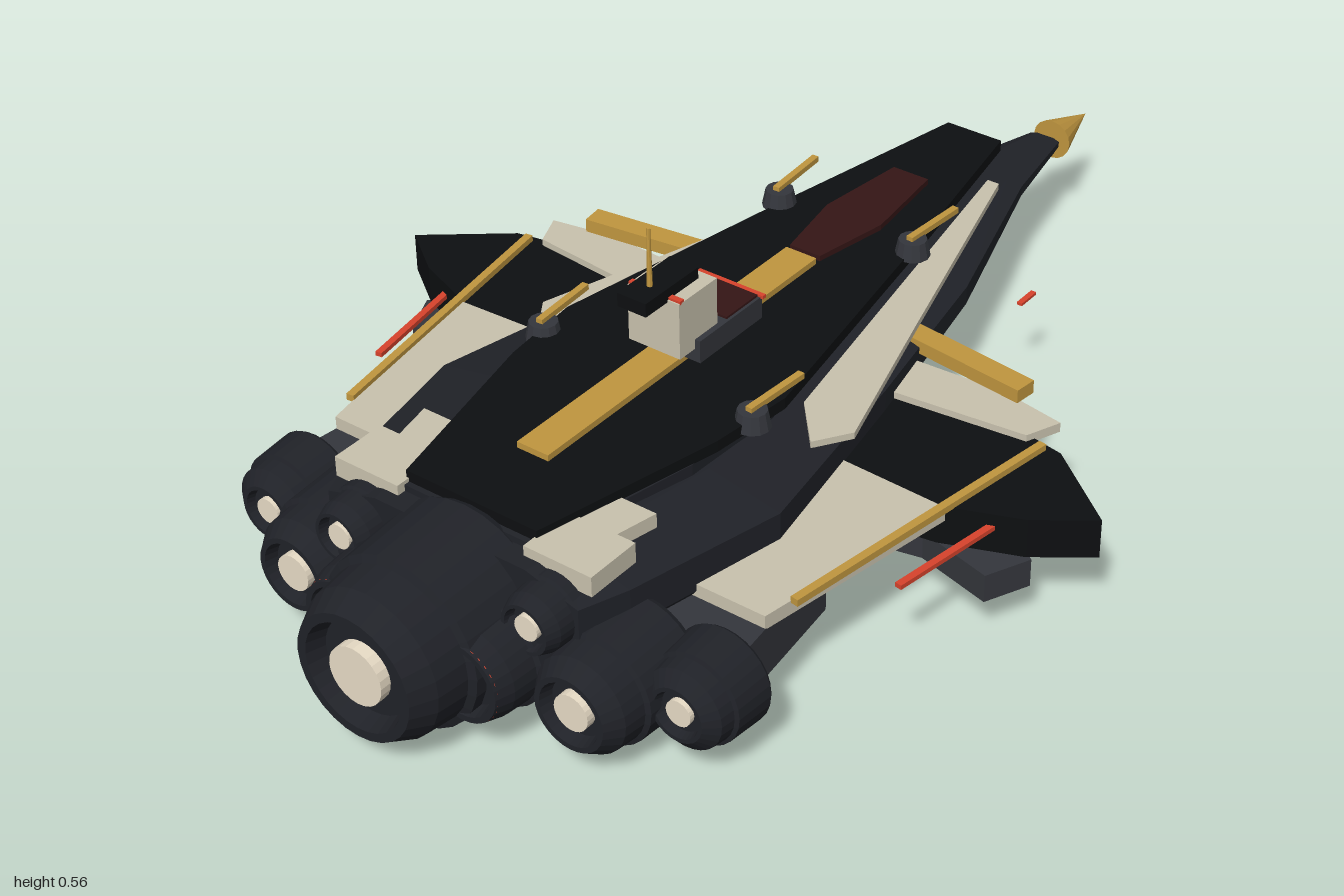
import * as THREE from 'three';

const mat = (color) => new THREE.MeshStandardMaterial({ color, flatShading: true, side: THREE.DoubleSide });
const HULL = mat(0x202228), DECK = mat(0x0d0f11), GREY = mat(0x34363c), IVORY = mat(0xc9c2ae);
const GOLD = mat(0xc0963f), RED = mat(0xd8432c), MAROON = mat(0x351616), GLOW = mat(0xe8dcc6);

export function createModel() {
  const ship = new THREE.Group();
  ship.name = 'starship';

  const add = (name, geo, material, x = 0, y = 0, z = 0) => {
    const m = new THREE.Mesh(geo, material);
    m.name = name;
    m.position.set(x, y, z);
    ship.add(m);
    return m;
  };
  const box = (name, material, w, h, d, x, y, z) => add(name, new THREE.BoxGeometry(w, h, d), material, x, y, z);

  // Flat plate from plan outline [x, z], between heights y0 and y1
  const plate = (name, material, pts, y0, y1) => {
    const shape = new THREE.Shape(pts.map(([x, z]) => new THREE.Vector2(x, -z)));
    const geo = new THREE.ExtrudeGeometry(shape, { depth: y1 - y0, bevelEnabled: false });
    geo.rotateX(-Math.PI / 2);
    return add(name, geo, material, 0, y0, 0);
  };
  // Symmetric plate from [z, halfWidth] stations
  const symPlate = (name, material, st, y0, y1) =>
    plate(name, material, [...st.map(([z, w]) => [w, z]), ...[...st].reverse().map(([z, w]) => [-w, z])], y0, y1);

  // Bar between two points
  const bar = (name, material, a, b, w, h) => {
    const p = new THREE.Vector3(...a), q = new THREE.Vector3(...b);
    const m = box(name, material, w, h, p.distanceTo(q), 0, 0, 0);
    m.position.copy(p).lerp(q, 0.5);
    m.lookAt(q);
    return m;
  };

  // Hull lofted through stations [z, half width, bottom, top]
  const stations = [
    [-0.855, 0.03, 0.16, 0.195], [-0.66, 0.072, 0.145, 0.212], [-0.3, 0.19, 0.118, 0.237],
    [0.05, 0.265, 0.092, 0.258], [0.42, 0.33, 0.065, 0.275], [0.7, 0.27, 0.05, 0.285], [0.78, 0.24, 0.05, 0.285],
  ];
  const ring = ([z, w, b, t]) => {
    const h = t - b;
    return [[0.6, 1], [1, 0.88], [1, 0.6], [0.62, 0], [-0.62, 0], [-1, 0.6], [-1, 0.88], [-0.6, 1]]
      .map(([u, v]) => [u * w, b + v * h, z]);
  };
  const rings = stations.map(ring), verts = [];
  const tri = (a, b, c) => verts.push(...a, ...b, ...c);
  for (let i = 0; i < rings.length - 1; i++) {
    for (let j = 0; j < 8; j++) {
      const k = (j + 1) % 8, a = rings[i], b = rings[i + 1];
      tri(a[j], b[j], b[k]);
      tri(a[j], b[k], a[k]);
    }
  }
  const first = rings[0], last = rings[rings.length - 1];
  for (let j = 1; j < 7; j++) {
    tri(first[0], first[j], first[j + 1]);
    tri(last[0], last[j + 1], last[j]);
  }
  const hullGeo = new THREE.BufferGeometry();
  hullGeo.setAttribute('position', new THREE.Float32BufferAttribute(verts, 3));
  hullGeo.computeVertexNormals();
  add('hull', hullGeo, HULL);

  // Nose spike
  const cone = new THREE.ConeGeometry(0.038, 0.12, 16);
  cone.rotateX(-Math.PI / 2);
  add('noseSpike', cone, GOLD, 0, 0.175, -0.94);

  // Upper deck, spine and canopy
  symPlate('upperDeck', DECK, [[-0.61, 0.055], [-0.2, 0.135], [0.25, 0.215], [0.4, 0.2], [0.73, 0.125]], 0.295, 0.315);
  symPlate('deckBase', HULL, [[-0.02, 0.13], [0.25, 0.19], [0.45, 0.19], [0.74, 0.13]], 0.25, 0.296);
  box('spineStripe', GOLD, 0.06, 0.012, 0.68, 0, 0.32, 0.25);
  symPlate('canopy', MAROON, [[-0.41, 0.035], [-0.24, 0.055], [-0.1, 0.03]], 0.314, 0.325);

  // Bridge tower and mast
  box('bridgeBase', GREY, 0.12, 0.04, 0.16, 0, 0.342, 0.18);
  box('bridgeBaseRoof', MAROON, 0.11, 0.006, 0.08, 0, 0.363, 0.145);
  box('bridgeBaseTrim', RED, 0.13, 0.006, 0.008, 0, 0.363, 0.1);
  box('bridgeTower', IVORY, 0.1, 0.1, 0.095, 0, 0.395, 0.25);
  box('towerTrim', RED, 0.1, 0.006, 0.01, 0, 0.446, 0.29);
  box('bridgeCap', DECK, 0.055, 0.024, 0.13, 0, 0.453, 0.285);
  add('mast', new THREE.CylinderGeometry(0.003, 0.005, 0.105, 8), GOLD, 0, 0.515, 0.305);

  // Engine: shell, red ring and glowing disc facing +z, rear lip at zEnd
  const engine = (name, x, y, r, z0, zEnd, glow, ringR) => {
    const L = zEnd - z0;
    const profile = [[0, 0], [r * 0.95, 0], [r, L * 0.05], [r * 0.94, L * 0.62], [r * 0.86, L * 0.64],
      [r * 0.82, L * 0.85], [ringR * 1.05, L], [ringR * 0.9, L], [ringR * 0.8, L * 0.88], [0, L * 0.88]];
    const shell = new THREE.LatheGeometry(profile.map(([a, b]) => new THREE.Vector2(a, b)), 28);
    shell.rotateX(Math.PI / 2);
    add(name + 'Shell', shell, HULL, x, y, z0);
    add(name + 'Ring', new THREE.TorusGeometry(ringR, ringR * 0.07, 6, 32), RED, x, y, zEnd - ringR * 0.07);
    const disc = new THREE.CylinderGeometry(glow, glow, 0.02, 24);
    disc.rotateX(Math.PI / 2);
    add(name + 'Glow', disc, GLOW, x, y, zEnd - 0.015);
  };
  engine('mainEngine', 0, 0.16, 0.155, 0.73, 0.995, 0.05, 0.102);

  for (const s of [1, -1]) {
    const side = s > 0 ? 'left' : 'right';
    const sidePlate = (name, material, pts, y0, y1) =>
      plate(side + name, material, pts.map(([x, z]) => [s * x, z]), y0, y1);

    // Engine cluster
    engine(side + 'InnerEngine', s * 0.115, 0.145, 0.095, 0.69, 0.9, 0.025, 0.065);
    engine(side + 'MidEngine', s * 0.27, 0.125, 0.1, 0.66, 0.845, 0.031, 0.06);
    engine(side + 'OuterEngine', s * 0.4, 0.135, 0.083, 0.645, 0.765, 0.022, 0.044);
    engine(side + 'UpperEngine', s * 0.18, 0.225, 0.062, 0.68, 0.83, 0.021, 0.04);
    sidePlate('Nacelle', GREY, [[0.25, 0.35], [0.4, 0.4], [0.43, 0.66], [0.25, 0.7]], 0.09, 0.18);
    box(side + 'EngineBlock', GREY, 0.1, 0.05, 0.2, s * 0.23, 0.07, 0.62);
    box(side + 'RearBlock', IVORY, 0.125, 0.035, 0.1, s * 0.183, 0.285, 0.705);
    sidePlate('RearStrip', IVORY, [[0.16, 0.58], [0.225, 0.58], [0.2, 0.7], [0.13, 0.7]], 0.275, 0.3);

    // Ivory strip along the hull shoulder
    sidePlate('ShoulderStrip', IVORY,
      [[0.062, -0.56], [0.085, -0.56], [0.22, -0.1], [0.31, 0.2], [0.27, 0.26], [0.2, 0.18]], 0.25, 0.262);

    // Wings, upper and lower
    sidePlate('Wing', DECK, [[0.2, -0.08], [0.55, -0.015], [0.69, 0.095], [0.6, 0.16], [0.47, 0.21], [0.2, 0.25]], 0.13, 0.2);
    sidePlate('LowerWing', GREY, [[0.2, 0.05], [0.5, 0.08], [0.61, 0.16], [0.575, 0.235], [0.44, 0.2], [0.2, 0.25]], 0.08, 0.13);
    sidePlate('FrontWingPlate', IVORY, [[0.2, -0.08], [0.4, -0.09], [0.515, -0.07], [0.49, -0.01], [0.2, 0.02]], 0.195, 0.212);
    sidePlate('RearWingPlate', IVORY, [[0.25, 0.2], [0.485, 0.21], [0.42, 0.58], [0.28, 0.58]], 0.178, 0.203);

    // Gold and red trim
    bar(side + 'CrossBar', GOLD, [s * 0.2, 0.232, -0.115], [s * 0.44, 0.232, -0.085], 0.04, 0.024);
    bar(side + 'WingRail', GOLD, [s * 0.52, 0.205, -0.01], [s * 0.435, 0.205, 0.53], 0.014, 0.012);
    bar(side + 'RedRod', RED, [s * 0.55, 0.175, 0.165], [s * 0.515, 0.175, 0.38], 0.012, 0.008);
    for (const z of [-0.387, -0.167]) box(side + 'MarkerLight', RED, 0.01, 0.005, 0.045, s * 0.255, 0.18, z);

    // Deck turrets with forward barrels
    for (const [x, y, z] of [[0.135, 0.325, -0.215], [0.205, 0.315, 0.32]]) {
      add(side + 'Turret', new THREE.CylinderGeometry(0.024, 0.03, 0.03, 12), GREY, s * x, y, z);
      bar(side + 'TurretBarrel', GOLD, [s * x, y + 0.018, z + 0.01], [s * (x + 0.008), y + 0.018, z - 0.115], 0.012, 0.01);
    }

    // Belly pods
    add(side + 'BellyPod', new THREE.CylinderGeometry(0.024, 0.02, 0.04, 12), GREY, s * 0.1, 0.07, 0.38);
    box(side + 'BellyBlock', GREY, 0.06, 0.025, 0.12, s * 0.12, 0.09, 0.2);
  }
  return ship;
}
